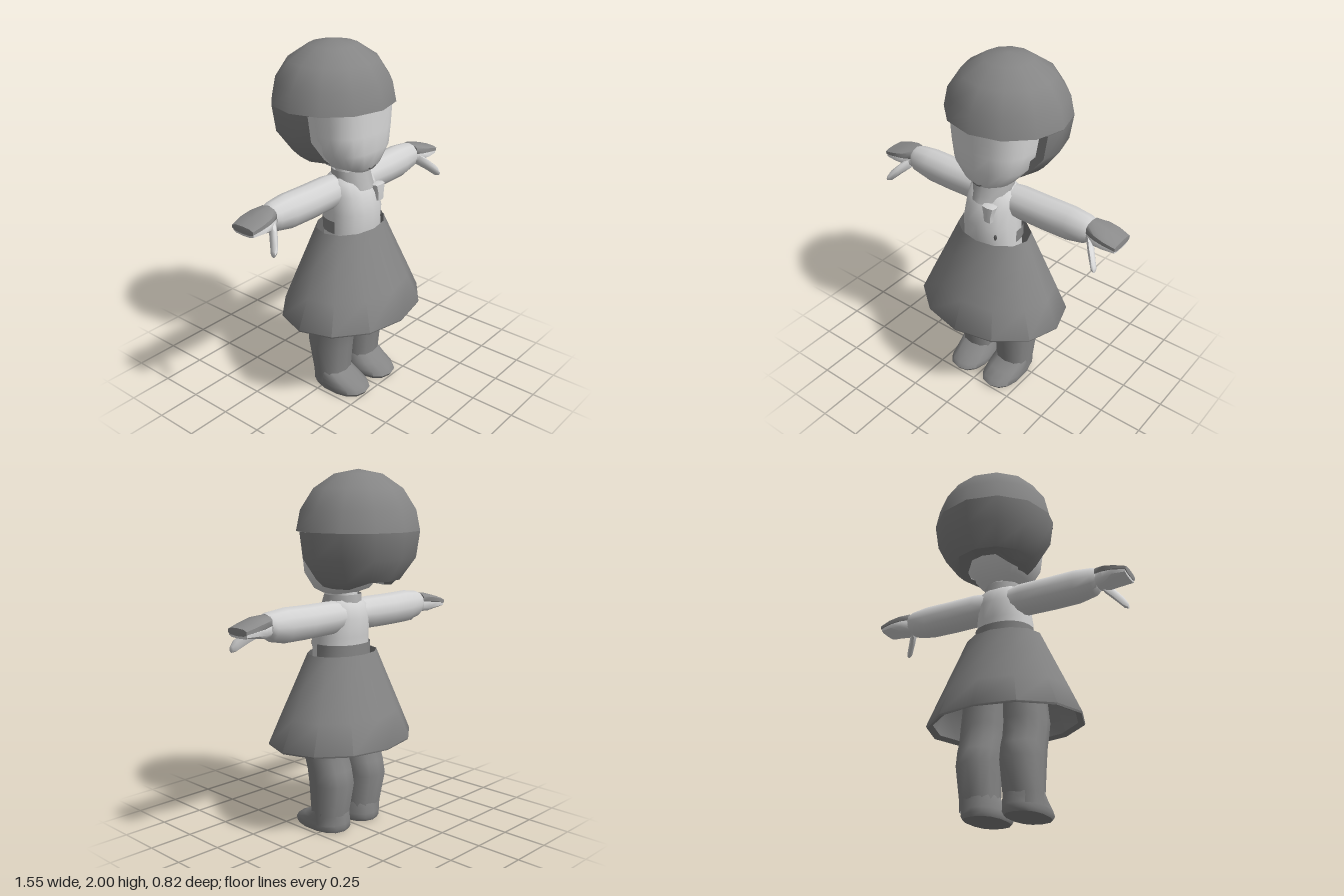
import * as THREE from 'three';
import { toCreasedNormals } from 'three/addons/utils/BufferGeometryUtils.js';

const mat = (name, color, side = THREE.FrontSide) => {
  const m = new THREE.MeshStandardMaterial({ color, side });
  m.name = name;
  return m;
};

// Surface through rows of points; flip reverses the faces for mirrored parts
function grid(rows, closed, flip = false, crease = 0.9) {
  const n = rows[0].length, pos = rows.flat(2), idx = [];
  for (let i = 0; i < rows.length - 1; i++) {
    for (let j = 0; j < (closed ? n : n - 1); j++) {
      const k = (j + 1) % n;
      const a = i * n + j, b = i * n + k, c = (i + 1) * n + k, d = (i + 1) * n + j;
      idx.push(...(flip ? [a, c, b, a, d, c] : [a, b, c, a, c, d]));
    }
  }
  const g = new THREE.BufferGeometry();
  g.setAttribute('position', new THREE.Float32BufferAttribute(pos, 3));
  g.setIndex(idx);
  return toCreasedNormals(g, crease);
}

const pw = (v, p) => Math.sign(v) * Math.abs(v) ** p;
const ring = (n, p, fn) => Array.from({ length: n }, (_, j) => {
  const a = (j / n) * Math.PI * 2;
  return fn(pw(Math.sin(a), p), pw(Math.cos(a), p));
});

// Upright loft: rows of [y, centre x, centre z, radius x, radius z]
const loftY = (rows, { n = 12, p = 1, s = 1, crease } = {}) =>
  grid(rows.map(([y, cx, cz, rx, rz]) =>
    ring(n, p, (u, v) => [s * (cx + rx * u), y, cz + rz * v])), true, s < 0, crease);

// Sideways loft: rows of [x, centre y, centre z, radius y, radius z]
const loftX = (rows, { n = 12, p = 1, s = 1, crease } = {}) =>
  grid(rows.map(([x, cy, cz, ry, rz]) =>
    ring(n, p, (u, v) => [s * x, cy + ry * v, cz + rz * u])), true, s < 0, crease);

export function createModel() {
  const model = new THREE.Group();
  model.name = 'doll';
  const dark = mat('darkGrey', 0x858585, THREE.DoubleSide);
  const shirt = mat('shirtGrey', 0xd2d2d2, THREE.DoubleSide);
  const skin = mat('skinGrey', 0xdadada);
  const collarGrey = mat('collarGrey', 0xb2b2b2, THREE.DoubleSide);
  const handGrey = mat('handGrey', 0x8c8c8c);
  const detail = mat('detailGrey', 0x5a5a5a);
  const add = (name, geometry, material, parent = model) => {
    const m = new THREE.Mesh(geometry, material);
    m.name = name;
    parent.add(m);
    return m;
  };

  // Hair: full dome above the fringe
  const HZ = -0.08, SZ = 0.955, FRINGE = 1.68;
  const hair = new THREE.Group();
  hair.name = 'hair';
  model.add(hair);
  add('hairDome', loftY([[FRINGE, 0], [FRINGE, 0.346], [1.79, 0.323], [1.9, 0.25],
    [1.975, 0.135], [2, 0]].map(([y, r]) => [y, 0, HZ, r, r * SZ])), dark, hair);

  // Hair: thick lower shell, open in front of the ears
  const arc = (y, r) => {
    const t0 = Math.acos(Math.min(1, 0.11 / (r * SZ)));
    const angles = [t0];
    for (let d = 90; d <= 270; d += 30) angles.push(d * Math.PI / 180);
    angles.push(Math.PI * 2 - t0);
    return angles.map((a) => {
      const z = HZ + r * SZ * Math.cos(a);
      return [r * Math.sin(a), y < 1.42 && z < -0.18 ? 1.42 : y, z];
    });
  };
  const profile = [[1.38, 0.195], [1.42, 0.236], [1.54, 0.325], [FRINGE, 0.346]];
  const outer = profile.map(([y, r]) => arc(y, r));
  const inner = profile.map(([y, r]) => arc(y, r - 0.045));
  add('hairShell', grid([...[...inner].reverse(), ...outer], false), dark, hair);
  const last = outer[0].length - 1;
  add('hairEdgeLeft', grid(outer.map((o, i) => [inner[i][0], o[0]]), false), dark, hair);
  add('hairEdgeRight', grid(outer.map((o, i) => [o[last], inner[i][last]]), false), dark, hair);

  // Head with a flattened face
  add('head', loftY([[1.325, 0, 0.07, 0, 0], [1.33, 0, 0.07, 0.07, 0.09],
    [1.36, 0, 0.045, 0.14, 0.14], [1.45, 0, 0.02, 0.215, 0.19], [1.55, 0, 0, 0.235, 0.215],
    [1.69, 0, 0, 0.245, 0.22], [1.7, 0, 0, 0, 0]], { n: 20, p: 0.75 }), skin);
  const smile = new THREE.QuadraticBezierCurve3(new THREE.Vector3(-0.03, 1.362, 0.186),
    new THREE.Vector3(0, 1.335, 0.18), new THREE.Vector3(0.03, 1.362, 0.186));
  add('mouth', new THREE.TubeGeometry(smile, 8, 0.003, 5), detail);
  add('neck', loftY([[1.25, 0, 0.02, 0.07, 0.07], [1.42, 0, 0.01, 0.065, 0.065]]), skin);

  // Torso, collar, tie and button
  add('torso', loftY([[0.92, 0, 0.05, 0.165, 0.14], [1.0, 0, 0.055, 0.163, 0.14],
    [1.1, 0, 0.055, 0.158, 0.148], [1.2, 0, 0.04, 0.15, 0.14], [1.27, 0, 0.03, 0.14, 0.11],
    [1.305, 0, 0.02, 0.1, 0.07], [1.31, 0, 0.02, 0, 0]], { n: 16, p: 0.9 }), shirt);
  add('collar', loftY([[1.23, 0, 0.055, 0.105, 0.125], [1.27, 0, 0.045, 0.115, 0.115],
    [1.33, 0, 0.035, 0.11, 0.1]]), collarGrey);
  add('tie', loftY([[1.145, 0.07, 0.18, 0, 0], [1.15, 0.07, 0.18, 0.025, 0.018],
    [1.19, 0.07, 0.178, 0.028, 0.022], [1.24, 0.07, 0.17, 0.042, 0.028],
    [1.25, 0.07, 0.165, 0, 0]], { n: 8, p: 0.6 }), shirt);
  const button = add('button', new THREE.SphereGeometry(0.018, 8, 6), detail);
  button.scale.set(0.5, 1, 0.5);
  button.position.set(0.105, 1.05, 0.168);

  // Waistband showing round the back
  const band = [0.99, 1.06].map((y) => Array.from({ length: 13 }, (_, j) => {
    const a = Math.PI * (0.48 + 1.04 * j / 12);
    return [0.17 * pw(Math.sin(a), 0.9), y, 0.055 + 0.152 * pw(Math.cos(a), 0.9)];
  }));
  add('waistband', grid(band, false), dark);

  // Open flared skirt with a small hem
  add('skirt', loftY([[0.515, 0, 0.05, 0.41, 0.33], [0.5, 0, 0.05, 0.445, 0.355],
    [0.51, 0, 0.05, 0.45, 0.36], [0.67, 0, 0.047, 0.377, 0.298], [0.84, 0, 0.043, 0.298, 0.23],
    [1.005, 0, 0.04, 0.222, 0.165]]), dark);

  for (const [side, s] of [['left', 1], ['right', -1]]) {
    // Sleeve
    add(side + 'Arm', loftX([[0.06, 1.215, 0.01, 0.08, 0.085], [0.15, 1.21, 0, 0.092, 0.09],
      [0.32, 1.208, 0, 0.093, 0.09], [0.47, 1.21, 0, 0.094, 0.085], [0.57, 1.215, 0, 0.078, 0.075],
      [0.595, 1.22, 0, 0.065, 0.062], [0.6, 1.22, 0, 0, 0]], { s }), shirt);
    // Hand: pale palm under a darker back
    const hand = new THREE.Group();
    hand.name = side + 'Hand';
    model.add(hand);
    add('palm', loftX([[0.58, 1.215, 0, 0, 0], [0.585, 1.215, 0, 0.05, 0.055],
      [0.64, 1.208, 0.0, 0.045, 0.075], [0.7, 1.205, 0, 0.03, 0.082],
      [0.77, 1.2, 0, 0.018, 0.072], [0.772, 1.2, 0, 0, 0]], { n: 10, p: 0.75, s }), skin, hand);
    add('handBack', loftX([[0.59, 1.245, 0, 0, 0], [0.595, 1.245, 0, 0.035, 0.06],
      [0.65, 1.24, 0, 0.034, 0.08], [0.71, 1.23, 0, 0.026, 0.085],
      [0.775, 1.215, 0, 0.02, 0.075], [0.777, 1.215, 0, 0, 0]], { n: 10, p: 0.75, s }), handGrey, hand);
    add('thumb', loftX([[0.6, 1.2, 0.03, 0, 0], [0.61, 1.195, 0.04, 0.035, 0.03],
      [0.65, 1.16, 0.085, 0.035, 0.03], [0.69, 1.118, 0.125, 0.032, 0.026],
      [0.708, 1.1, 0.135, 0.018, 0.016], [0.712, 1.1, 0.137, 0, 0]], { n: 8, s }), skin, hand);
    // Leg with a gentle calf, then the foot
    add(side + 'Leg', loftY([[0.04, 0.128, 0.01, 0.105, 0.1], [0.1, 0.128, 0.01, 0.106, 0.102],
      [0.28, 0.13, 0, 0.115, 0.13], [0.36, 0.13, 0.013, 0.117, 0.125],
      [0.42, 0.131, 0.033, 0.117, 0.122], [0.5, 0.131, 0.048, 0.117, 0.13],
      [0.85, 0.11, 0.045, 0.105, 0.115]], { p: 0.85, s }), dark);
    add(side + 'Foot', loftY([[0, 0.12, 0.075, 0, 0], [0, 0.12, 0.075, 0.105, 0.165],
      [0.02, 0.12, 0.077, 0.115, 0.177], [0.045, 0.12, 0.07, 0.112, 0.168],
      [0.075, 0.123, 0.04, 0.11, 0.135], [0.115, 0.128, 0.01, 0.104, 0.1]],
      { n: 14, p: 0.85, s }), dark);
  }
  return model;
}
